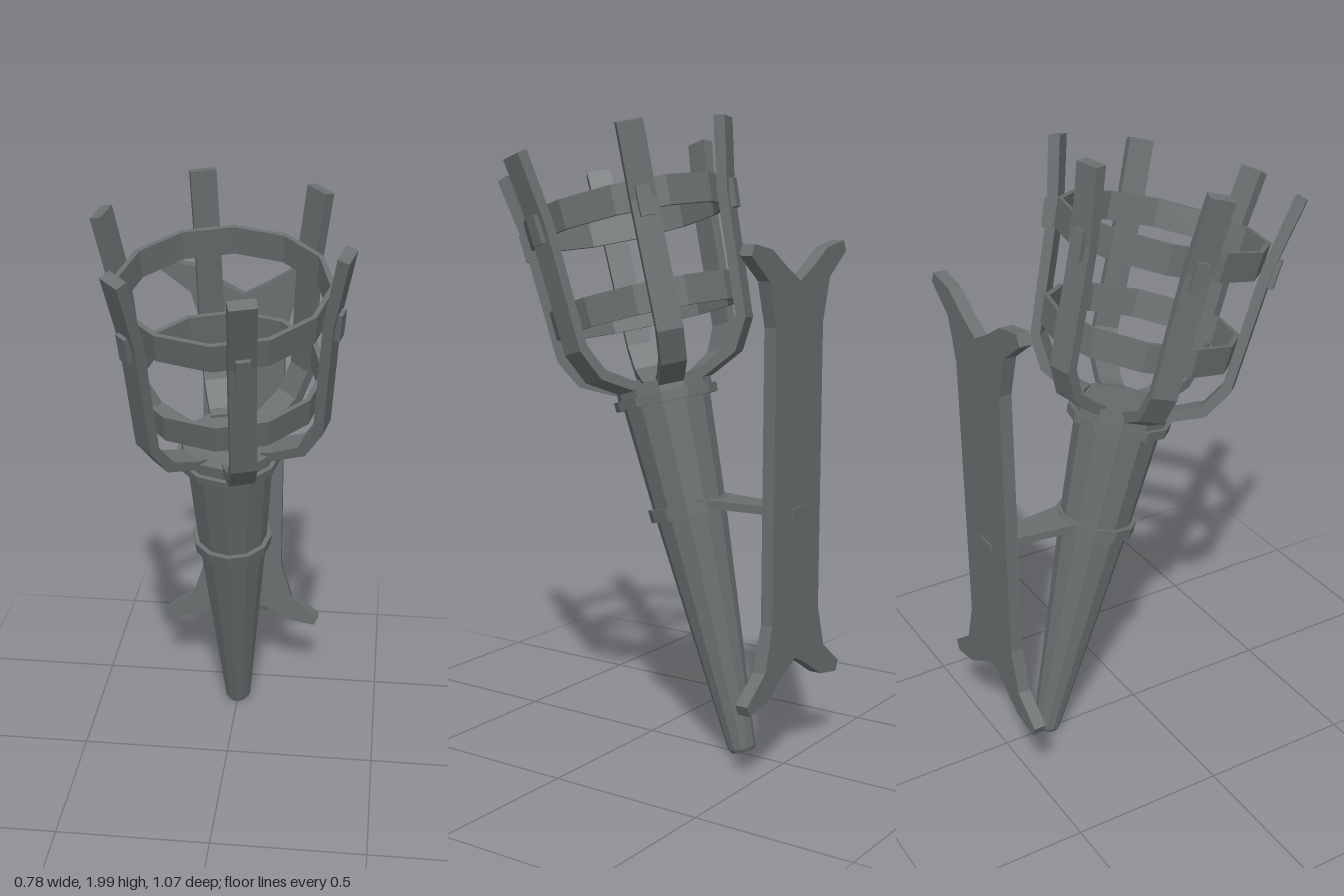
import * as THREE from 'three';

const SIDES = 12;
const TILT = THREE.MathUtils.degToRad(15);

export function createModel() {
  const iron = new THREE.MeshStandardMaterial({ color: 0x696e6f, flatShading: true });
  iron.name = 'dark iron';

  const model = new THREE.Group();
  model.name = 'wallTorch';

  const add = (parent, name, geometry) => {
    const mesh = new THREE.Mesh(geometry, iron);
    mesh.name = name;
    parent.add(mesh);
    return mesh;
  };
  const lathe = (pairs) =>
    new THREE.LatheGeometry(pairs.map(([r, h]) => new THREE.Vector2(r, h)), SIDES);
  const polygon = (pairs) =>
    new THREE.Shape(pairs.map(([x, y]) => new THREE.Vector2(x, y)));
  // Hollow band, optionally flaring from bottom radius to top radius
  const band = (rBottom, rTop, h, height, thickness) => lathe([
    [rBottom - thickness, h - height / 2],
    [rBottom, h - height / 2],
    [rTop, h + height / 2],
    [rTop - thickness, h + height / 2],
    [rBottom - thickness, h - height / 2],
  ]);

  // Torch leaning forward out of its bracket
  const torch = new THREE.Group();
  torch.name = 'torch';
  torch.position.set(0, 0.012, -0.35);
  torch.rotation.x = TILT;
  model.add(torch);

  // Tapered handle with a flat cup floor
  add(torch, 'handle', lathe([
    [0, 0], [0.038, 0], [0.045, 0.012], [0.115, 0.78], [0.14, 1.13],
    [0.152, 1.16], [0.152, 1.2], [0, 1.2],
  ]));
  add(torch, 'middleCollar', band(0.13, 0.133, 0.785, 0.04, 0.03));
  add(torch, 'topCollar', band(0.165, 0.167, 1.145, 0.03, 0.035));

  // Basket hoops
  add(torch, 'lowerHoop', band(0.303, 0.308, 1.44, 0.09, 0.016));
  add(torch, 'upperHoop', band(0.323, 0.329, 1.74, 0.09, 0.016));

  // Six bent straps, each with a small clasp where it crosses the upper hoop
  const strapShape = polygon([
    [0.12, 1.175], [0.16, 1.185], [0.268, 1.235], [0.324, 1.33], [0.352, 1.72], [0.395, 1.945],
    [0.36, 1.955], [0.32, 1.73], [0.294, 1.345], [0.245, 1.262], [0.15, 1.215], [0.12, 1.21],
  ]);
  const strapGeometry = new THREE.ExtrudeGeometry(strapShape, { depth: 0.08, bevelEnabled: false });
  strapGeometry.translate(0, 0, -0.04);
  const claspGeometry = new THREE.BoxGeometry(0.03, 0.09, 0.042);
  for (let i = 0; i < 6; i++) {
    const strap = new THREE.Group();
    strap.name = 'basketStrap' + (i + 1);
    strap.rotation.y = THREE.MathUtils.degToRad(15 + 60 * i - 90);
    add(strap, 'strap', strapGeometry);
    const clasp = add(strap, 'clasp', claspGeometry);
    clasp.position.set(0.354, 1.715, 0);
    clasp.rotation.z = -0.08;
    torch.add(strap);
  }

  // Wall plate with four splayed feet, mirrored left-right and top-bottom
  const midY = 0.925;
  const quarter = [[0.075, 0.31], [0.165, 0.255], [0.265, 0.237], [0.281, 0.27], [0.18, 0.345], [0.14, 0.48]];
  const rightSide = [...quarter, ...quarter.map(([x, y]) => [x, 2 * midY - y]).reverse()];
  const leftSide = rightSide.map(([x, y]) => [-x, y]).reverse();
  const plateShape = polygon([[0, 0.35], ...rightSide, [0, 2 * midY - 0.35], ...leftSide]);
  const plate = add(model, 'wallPlate',
    new THREE.ExtrudeGeometry(plateShape, { depth: 0.04, bevelEnabled: false }));
  plate.position.z = -0.535;

  // Flat tapering arm from the plate to the middle collar, its tenon showing at the back
  const armShape = polygon([
    [-0.035, 0.54], [0.035, 0.54], [0.04, 0.48], [0.065, 0.27], [0.08, 0.2],
    [-0.08, 0.2], [-0.065, 0.27], [-0.04, 0.48],
  ]);
  const arm = add(model, 'bracketArm',
    new THREE.ExtrudeGeometry(armShape, { depth: 0.026, bevelEnabled: false }));
  arm.rotation.x = -Math.PI / 2;
  arm.position.y = 0.793;

  return model;
}
